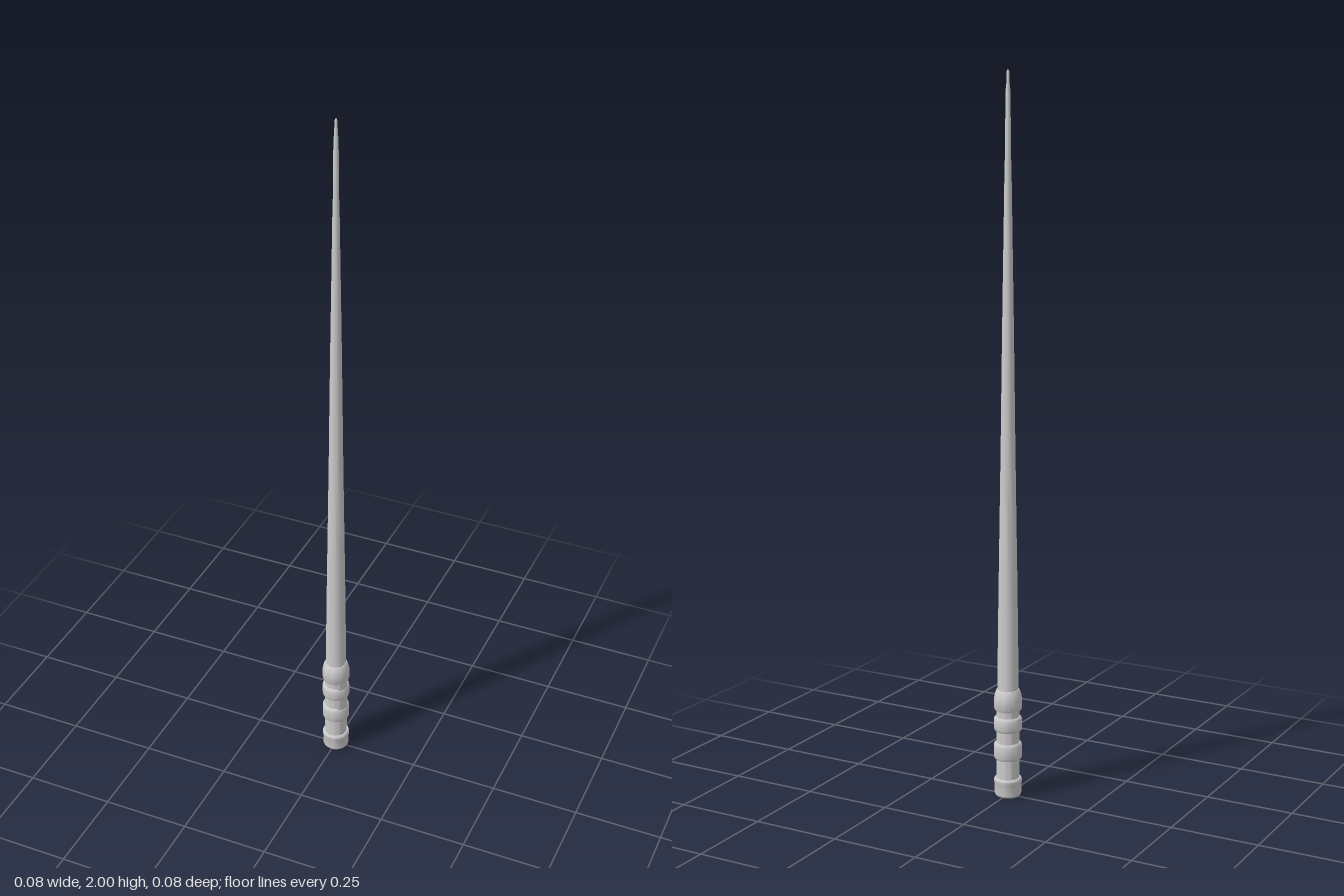
import * as THREE from 'three';
import { toCreasedNormals } from 'three/addons/utils/BufferGeometryUtils.js';

const material = new THREE.MeshStandardMaterial({ color: 0xcccccc });

// Turned part: profile of [radius, height] pairs from bottom to top
function turned(name, profile, segments = 32) {
  const points = profile.map(([r, y]) => new THREE.Vector2(r, y));
  const geometry = toCreasedNormals(new THREE.LatheGeometry(points, segments), 0.5);
  const mesh = new THREE.Mesh(geometry, material);
  mesh.name = name;
  return mesh;
}

// Rounded band around the grip, closed on its inner side
function band(name, y0, y1, radius, bevel = 0.006) {
  return turned(name, [
    [0.028, y0], [radius - 0.004, y0], [radius - 0.001, y0 + bevel * 0.5], [radius, y0 + bevel],
    [radius, y1 - bevel], [radius - 0.001, y1 - bevel * 0.5], [radius - 0.004, y1], [0.028, y1],
  ]);
}

export function createModel() {
  const group = new THREE.Group();
  group.name = 'wand';

  // Grip core that shows in the grooves
  group.add(turned('gripCore', [[0, 0.01], [0.032, 0.01], [0.032, 0.28], [0, 0.28]]));

  // Pommel with a bevelled foot and a thin upper lip
  group.add(turned('pommel', [
    [0, 0], [0.033, 0], [0.037, 0.005], [0.038, 0.012], [0.038, 0.038],
    [0.039, 0.04], [0.039, 0.048], [0.036, 0.053], [0.028, 0.053],
  ]));

  // Grip bands
  group.add(band('lowerBand', 0.108, 0.156, 0.039));
  group.add(band('middleBand', 0.19, 0.231, 0.039));

  // Collar that tapers into the shaft
  group.add(turned('collar', [
    [0.028, 0.25], [0.036, 0.25], [0.039, 0.256], [0.039, 0.284],
    [0.037, 0.295], [0.034, 0.305], [0.031, 0.31], [0.025, 0.31],
  ]));

  // Curved bridge joining the bands on one side of the grip
  const start = 0;
  const sweep = Math.PI / 3;
  const outline = new THREE.Shape();
  outline.absarc(0, 0, 0.037, start, start + sweep, false);
  outline.absarc(0, 0, 0.028, start + sweep, start, true);
  const bridgeGeometry = new THREE.ExtrudeGeometry(outline, {
    depth: 0.115, bevelEnabled: false, curveSegments: 10,
  });
  bridgeGeometry.rotateX(-Math.PI / 2);
  bridgeGeometry.rotateY(-Math.PI / 6);
  bridgeGeometry.translate(0, 0.145, 0);
  const bridge = new THREE.Mesh(toCreasedNormals(bridgeGeometry, 0.5), material);
  bridge.name = 'gripBridge';
  group.add(bridge);

  // Long tapered shaft
  group.add(turned('shaft', [
    [0, 0.29], [0.029, 0.29], [0.0285, 0.42], [0.026, 0.61], [0.023, 0.8],
    [0.02, 1.0], [0.0175, 1.2], [0.015, 1.38], [0.012, 1.57], [0.009, 1.765], [0, 1.765],
  ], 24));

  // Slim end section and tip
  group.add(turned('tip', [
    [0, 1.75], [0.0085, 1.75], [0.0065, 1.945], [0.0045, 1.965], [0.004, 1.993], [0.0025, 2], [0, 2],
  ], 24));

  // Turn the bridge so it starts at the front and ends towards the left side
  bridge.rotation.y = -(Math.PI / 2 - sweep) - sweep / 2 + Math.PI / 6;
  return group;
}
